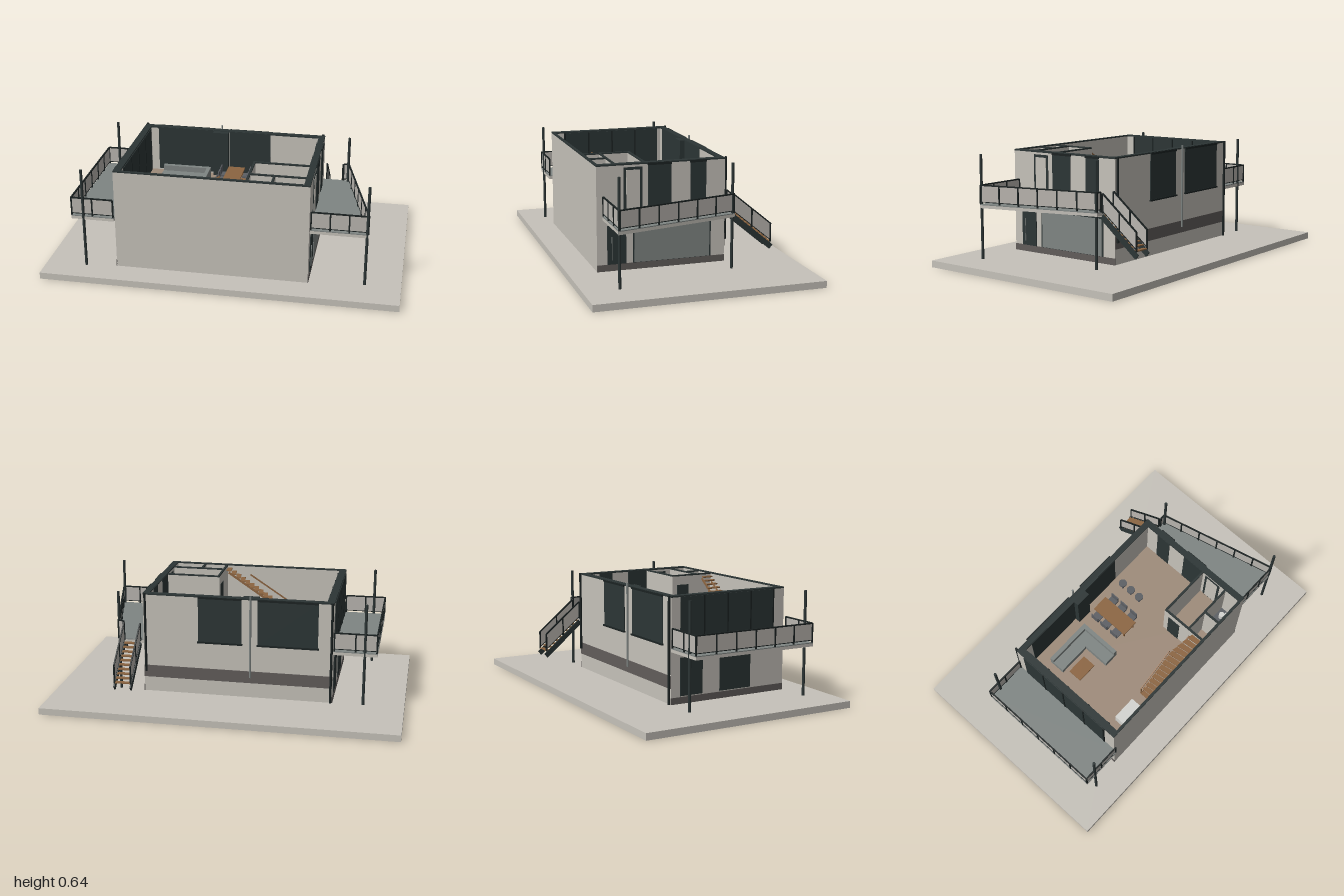
import * as THREE from 'three';

const mat = (name, color, side = THREE.FrontSide) => {
  const m = new THREE.MeshStandardMaterial({ color, side });
  m.name = name;
  return m;
};

export function createModel() {
  const root = new THREE.Group();
  root.name = 'house';
  const wall = mat('pale plaster', 0xc6c2ba);
  const dark = mat('dark frame', 0x2c3535);
  const black = mat('black metal', 0x1b2222);
  const deck = mat('grey deck', 0x7f8583);
  const floor = mat('tan floor', 0x9e8b7a);
  const wood = mat('wood', 0x8c6541);
  const plinth = mat('dark plinth', 0x625d5b);
  const pane = mat('rail pane', 0xbab6b0, THREE.DoubleSide);
  const white = mat('white', 0xd4d4d0);
  const seat = mat('seat grey', 0x5c5f64);

  const add = (name, geo, m, parent = root) => {
    const mesh = new THREE.Mesh(geo, m);
    mesh.name = name;
    parent.add(mesh);
    return mesh;
  };
  // Box from its limits
  const box = (name, m, x0, x1, y0, y1, z0, z1, parent) => add(name,
    new THREE.BoxGeometry(x1 - x0, y1 - y0, z1 - z0)
      .translate((x0 + x1) / 2, (y0 + y1) / 2, (z0 + z1) / 2), m, parent);
  // Horizontal plate from [x, z] corners, with an optional hole
  const plate = (name, m, pts, y0, y1, hole, parent) => {
    const vec = (list) => list.map(([x, z]) => new THREE.Vector2(x, z));
    const shape = new THREE.Shape(vec(pts));
    if (hole) shape.holes.push(new THREE.Path(vec(hole)));
    const geo = new THREE.ExtrudeGeometry(shape, { depth: y1 - y0, bevelEnabled: false });
    return add(name, geo.rotateX(Math.PI / 2).translate(0, y1, 0), m, parent);
  };
  // Square bar between two points
  const bar = (name, m, a, b, w, h, parent) => {
    const p = new THREE.Vector3(...a), q = new THREE.Vector3(...b);
    const mesh = add(name, new THREE.BoxGeometry(w, h, p.distanceTo(q)), m, parent);
    mesh.position.copy(p).lerp(q, 0.5);
    mesh.lookAt(q);
    return mesh;
  };
  const rod = (name, m, x, z, r, y0, y1, parent) => add(name,
    new THREE.CylinderGeometry(r, r, y1 - y0, 12).translate(x, (y0 + y1) / 2, z), m, parent);
  const rect = (x0, x1, z0, z1) => [[x0, z0], [x1, z0], [x1, z1], [x0, z1]];

  // Railing: rails, uprights and panes along a line, level or sloping
  const railing = (a, b, n, height = 0.105) => {
    const g = new THREE.Group();
    g.name = 'railing';
    root.add(g);
    const up = (p, d) => [p[0], p[1] + d, p[2]];
    const at = (t) => a.map((v, i) => v + (b[i] - v) * t);
    bar('topRail', black, up(a, height), up(b, height), 0.008, 0.007, g);
    bar('bottomRail', black, up(a, 0.012), up(b, 0.012), 0.004, 0.004, g);
    for (let i = 0; i <= n; i++) {
      const p = at(i / n);
      box('railPost', black, p[0] - 0.004, p[0] + 0.004, p[1], p[1] + height, p[2] - 0.004, p[2] + 0.004, g);
    }
    const c = [up(a, 0.014), up(b, 0.014), up(b, height), up(a, height)];
    const geo = new THREE.BufferGeometry();
    geo.setAttribute('position', new THREE.Float32BufferAttribute(c.flat(), 3));
    geo.setIndex([0, 1, 2, 0, 2, 3]);
    geo.computeVertexNormals();
    add('railPane', geo, pane, g);
  };

  // Ground and house shell
  box('ground', wall, -1, 1, 0, 0.038, -0.635, 0.63);
  const outer = rect(-0.595, 0.49, -0.255, 0.472);
  const inner = rect(-0.555, 0.455, -0.222, 0.457);
  box('groundFloor', wall, -0.595, 0.49, 0.038, 0.34, -0.255, 0.472);
  plate('upperWalls', wall, outer, 0.34, 0.615, inner);
  plate('wallCap', dark, outer, 0.615, 0.623, inner);
  plate('upperFloor', floor, inner, 0.34, 0.346);
  box('sidePlinth', plinth, 0.488, 0.493, 0.038, 0.075, -0.256, 0.472);
  box('leftPlinth', plinth, -0.598, -0.593, 0.038, 0.075, -0.256, 0.472);
  box('backBand', plinth, -0.595, 0.49, 0.125, 0.195, -0.259, -0.253);

  // Back windows, running through the wall
  for (const [x0, x1] of [[-0.51, -0.17], [-0.078, 0.17]]) {
    box('backWindow', dark, x0, x1, 0.355, 0.621, -0.259, -0.219);
    box('backSill', black, x0 - 0.005, x1 + 0.005, 0.348, 0.357, -0.266, -0.25);
    box('backWindowHead', black, x0, x1, 0.61, 0.621, -0.264, -0.25);
  }

  // Right side: windows, balcony door, garage door and entrance
  for (const [z0, z1] of [[0.055, 0.185], [-0.145, -0.055]]) {
    box('sideWindow', dark, 0.452, 0.494, 0.35, 0.621, z0, z1);
    box('sideWindowHead', black, 0.485, 0.497, 0.608, 0.621, z0 - 0.003, z1 + 0.003);
  }
  box('balconyDoorFrame', dark, 0.452, 0.493, 0.35, 0.603, 0.218, 0.322);
  box('balconyDoorPanel', wall, 0.451, 0.495, 0.355, 0.588, 0.232, 0.308);
  box('garageFrame', dark, 0.485, 0.493, 0.075, 0.292, -0.175, 0.272);
  box('garageDoor', deck, 0.485, 0.496, 0.077, 0.283, -0.166, 0.263);
  box('entranceDoor', dark, 0.485, 0.495, 0.075, 0.29, 0.31, 0.415);
  box('entranceHandle', deck, 0.494, 0.499, 0.1, 0.23, 0.388, 0.391);

  // Left side: glazed wall above, windows below
  for (let i = 0; i < 4; i++) {
    const z = -0.2 + i * 0.15;
    box('glazedPanel', dark, -0.599, -0.551, 0.35, 0.615, z, z + 0.145);
    box('glazedMullion', black, -0.602, -0.548, 0.35, 0.615, z + 0.143, z + 0.152);
  }
  box('lowerWindow', dark, -0.599, -0.59, 0.08, 0.29, -0.2, -0.06);
  box('lowerWindow', dark, -0.599, -0.59, 0.08, 0.29, 0.05, 0.25);

  // Drain pipes and flue
  rod('drainPipe', black, -0.587, -0.264, 0.007, 0.04, 0.625);
  rod('drainPipe', black, 0.476, -0.264, 0.007, 0.16, 0.625);
  rod('flue', deck, -0.13, -0.266, 0.006, 0.16, 0.64);
  box('fireplace', dark, -0.17, -0.08, 0.346, 0.62, -0.222, -0.19);

  // Balconies with posts and railings
  const balconies = {
    leftBalcony: [[-0.84, -0.255], [-0.595, -0.255], [-0.595, 0.492], [-0.84, 0.492]],
    rightBalcony: [[0.49, -0.255], [0.642, -0.255], [0.81, 0.44], [0.49, 0.44]],
  };
  for (const [name, pts] of Object.entries(balconies)) {
    plate(name, wall, pts, 0.325, 0.342);
    plate(name + 'Deck', deck, pts, 0.342, 0.347);
  }
  const y = 0.347;
  railing([-0.836, y, -0.251], [-0.836, y, 0.488], 6);
  railing([-0.836, y, 0.488], [-0.6, y, 0.488], 2);
  railing([-0.836, y, -0.251], [-0.6, y, -0.251], 2);
  railing([0.638, y, -0.251], [0.806, y, 0.436], 6);
  railing([0.495, y, 0.436], [0.806, y, 0.436], 3);
  railing([0.608, y, -0.251], [0.638, y, -0.251], 1);
  for (const [x, z] of [[-0.77, 0.488], [-0.77, -0.248], [0.635, -0.243], [0.8, 0.434]]) {
    rod('post', dark, x, z, 0.008, 0.038, 0.623);
  }

  // Outside stairs
  for (const x of [0.508, 0.602]) {
    bar('stringer', dark, [x, 0.322, -0.256], [x, 0.13, -0.487], 0.008, 0.03);
    railing([x, 0.34, -0.26], [x, 0.158, -0.482], 2);
  }
  for (let i = 0; i < 10; i++) {
    const z = -0.262 - i * 0.022, h = 0.325 - i * 0.0185;
    box('outsideTread', wood, 0.511, 0.599, h, h + 0.006, z - 0.025, z);
  }

  // Inner partitions
  const partition = (x0, x1, z0, z1) => {
    box('partition', wall, x0, x1, 0.346, 0.612, z0, z1);
    box('partitionCap', dark, x0, x1, 0.612, 0.62, z0, z1);
  };
  partition(0.138, 0.15, 0.188, 0.457);
  partition(0.15, 0.455, 0.188, 0.2);
  partition(0.15, 0.455, 0.355, 0.366);
  partition(0.275, 0.287, 0.366, 0.457);
  box('roomDoor', dark, 0.135, 0.139, 0.346, 0.56, 0.22, 0.3);
  box('bathFloor', seat, 0.287, 0.455, 0.346, 0.35, 0.366, 0.457);
  rod('toiletBowl', white, 0.41, 0.4, 0.016, 0.35, 0.39);
  box('toiletTank', white, 0.395, 0.425, 0.35, 0.42, 0.415, 0.435);
  box('washbasin', white, 0.29, 0.32, 0.42, 0.435, 0.385, 0.43);

  // Fanned inner stairs, rising toward +x
  const steps = 14;
  for (let i = 0; i < steps; i++) {
    const a = i / steps, b = (i + 1) / steps, h = 0.362 + i * 0.0185;
    const near = (t) => -0.255 + 0.33 * t + 0.06 * t * t, far = (t) => -0.255 + 0.393 * t;
    const zn = (t) => 0.36 + 0.035 * Math.max(0, t - 0.7) / 0.3;
    plate('innerTread', wood, [[near(a), zn(a)], [near(b), zn(b)], [far(b), 0.456], [far(a), 0.456]], h - 0.007, h);
  }
  bar('innerStringer', wood, [-0.25, 0.352, 0.363], [0.12, 0.59, 0.385], 0.006, 0.012);
  bar('innerHandrail', wood, [-0.25, 0.44, 0.363], [-0.02, 0.59, 0.363], 0.006, 0.008);
  rod('handrailPost', wood, -0.25, 0.363, 0.004, 0.346, 0.44);

  // Sofa, coffee table and cabinet
  box('sofaSeat', deck, -0.46, -0.175, 0.346, 0.386, -0.145, -0.05);
  box('sofaSeat', deck, -0.265, -0.175, 0.346, 0.386, -0.05, 0.105);
  box('sofaBack', deck, -0.46, -0.175, 0.386, 0.418, -0.145, -0.12);
  box('sofaBack', deck, -0.197, -0.175, 0.386, 0.418, -0.12, 0.105);
  box('coffeeTable', wood, -0.435, -0.315, 0.37, 0.38, 0.018, 0.1).position.z = -0.038;
  box('coffeeTableBase', wood, -0.41, -0.34, 0.346, 0.37, 0, 0.045);
  box('cabinet', white, -0.465, -0.325, 0.346, 0.42, 0.362, 0.435);

  // Dining table, chairs and stools
  box('diningTable', wood, -0.072, 0.027, 0.412, 0.421, -0.165, 0.072);
  for (const x of [-0.062, 0.012]) for (const z of [-0.155, 0.055]) {
    box('tableLeg', wood, x, x + 0.008, 0.346, 0.412, z, z + 0.008);
  }
  for (const side of [-1, 1]) for (const z of [-0.125, -0.055, 0.022]) {
    const x = -0.022 + side * 0.066, back = -0.022 + side * 0.086;
    box('chairSeat', seat, x - 0.022, x + 0.022, 0.38, 0.392, z - 0.025, z + 0.025);
    box('chairBack', seat, back - 0.003, back + 0.003, 0.392, 0.436, z - 0.025, z + 0.025);
    box('chairBase', seat, x - 0.008, x + 0.008, 0.346, 0.38, z - 0.008, z + 0.008);
  }
  for (const z of [-0.15, -0.087, -0.023]) {
    rod('stoolSeat', seat, 0.16, z, 0.024, 0.408, 0.418);
    rod('stoolLeg', seat, 0.16, z, 0.006, 0.346, 0.408);
  }
  return root;
}
